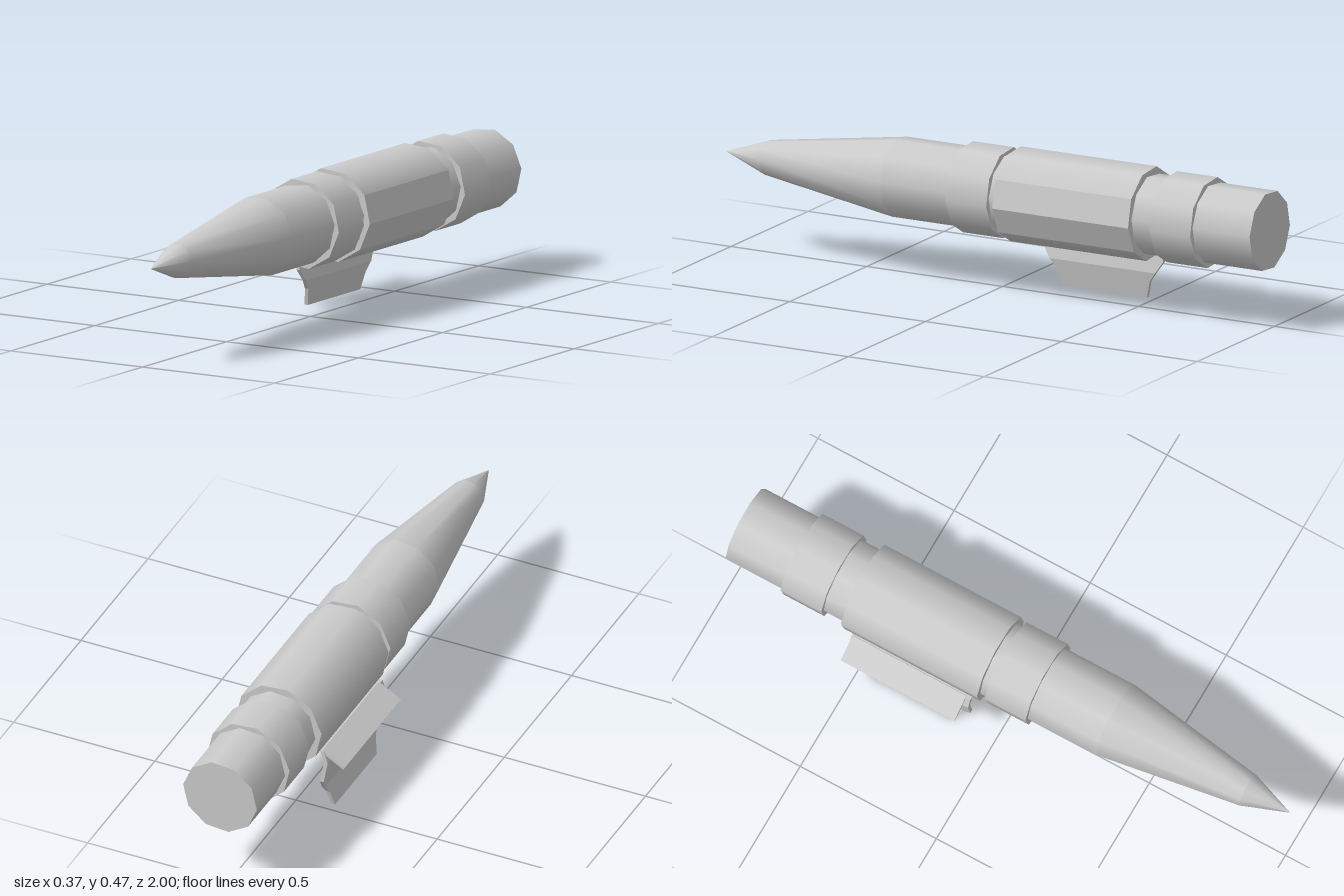
import * as THREE from 'three';

const smooth = new THREE.MeshStandardMaterial({ color: 0xcccccc });
const flat = new THREE.MeshStandardMaterial({ color: 0xcccccc, flatShading: true });
const deg = THREE.MathUtils.degToRad;
const AXIS_X = 0.031, AXIS_Y = 0.323;

function add(group, name, geometry, material) {
  const mesh = new THREE.Mesh(geometry, material);
  mesh.name = name;
  group.add(mesh);
  return mesh;
}

// Ten-sided tube section along z; the angle is that of its first corner, seen from the front
function section(back, front, rBack, rFront, angle, sides = 10, open = false) {
  return new THREE.CylinderGeometry(rFront, rBack, front - back, sides, 1, open,
    deg(angle + 90), deg(sides * 36))
    .rotateX(Math.PI / 2)
    .translate(AXIS_X, AXIS_Y, (front + back) / 2);
}

// Plate lofted downwards through rectangular rows [x, y, half length]
function loftPlate(rows, thickness, midZ) {
  const t = thickness / 2, pos = [], index = [];
  rows.forEach(([x, y, h], i) => {
    pos.push(x + t, y, midZ + h, x - t, y, midZ + h, x - t, y, midZ - h, x + t, y, midZ - h);
    if (i === 0) return;
    const a = (i - 1) * 4, b = i * 4;
    for (let k = 0; k < 4; k++) {
      const n = (k + 1) % 4;
      index.push(a + k, a + n, b + n, a + k, b + n, b + k);
    }
  });
  const e = (rows.length - 1) * 4;
  index.push(0, 3, 2, 0, 2, 1, e, e + 1, e + 2, e, e + 2, e + 3);
  const g = new THREE.BufferGeometry();
  g.setAttribute('position', new THREE.Float32BufferAttribute(pos, 3));
  g.setIndex(index);
  const out = g.toNonIndexed();
  out.computeVertexNormals();
  return out;
}

export function createModel() {
  const model = new THREE.Group();
  model.name = 'pointedTube';

  // Barrel, tapered nose and pointed tip
  add(model, 'barrel', section(-1, 0.36, 0.131, 0.131, 4.9), smooth);
  add(model, 'nose', section(0.36, 0.845, 0.131, 0.057, 4.9, 10, true), smooth);
  add(model, 'tip', section(0.845, 1, 0.057, 0, 4.9, 10, true), smooth);

  // Raised rings, turned slightly against the barrel
  add(model, 'frontRing', section(-0.04, 0.11, 0.147, 0.147, -5.3), smooth);
  add(model, 'rearRing', section(-0.79, -0.64, 0.147, 0.147, -5.3), smooth);

  // Central sleeve: rounded around most of its girth, two flat panels on the left
  const sleeve = new THREE.Group();
  sleeve.name = 'sleeve';
  add(sleeve, 'sleeveShell', section(-0.565, -0.065, 0.153, 0.153, 30.7, 8), smooth);
  add(sleeve, 'sleevePanels', section(-0.565, -0.065, 0.153, 0.153, -41.3, 2), flat);
  model.add(sleeve);

  // Side clip: a bent hanging plate and a tilted tab
  const clip = new THREE.Group();
  clip.name = 'clip';
  add(clip, 'clipPlate', loftPlate([
    [-0.107, 0.246, 0.219],
    [-0.121, 0.203, 0.219],
    [-0.107, 0.125, 0.219],
    [-0.1, 0.088, 0.194],
    [-0.106, 0.057, 0.171],
    [-0.117, 0, 0.155],
  ], 0.013, -0.313), smooth);
  const tab = add(clip, 'clipTab', new THREE.BoxGeometry(0.091, 0.011, 0.418), smooth);
  tab.position.set(-0.145, 0.221, -0.32);
  tab.rotation.z = deg(30.5);
  model.add(clip);

  return model;
}
